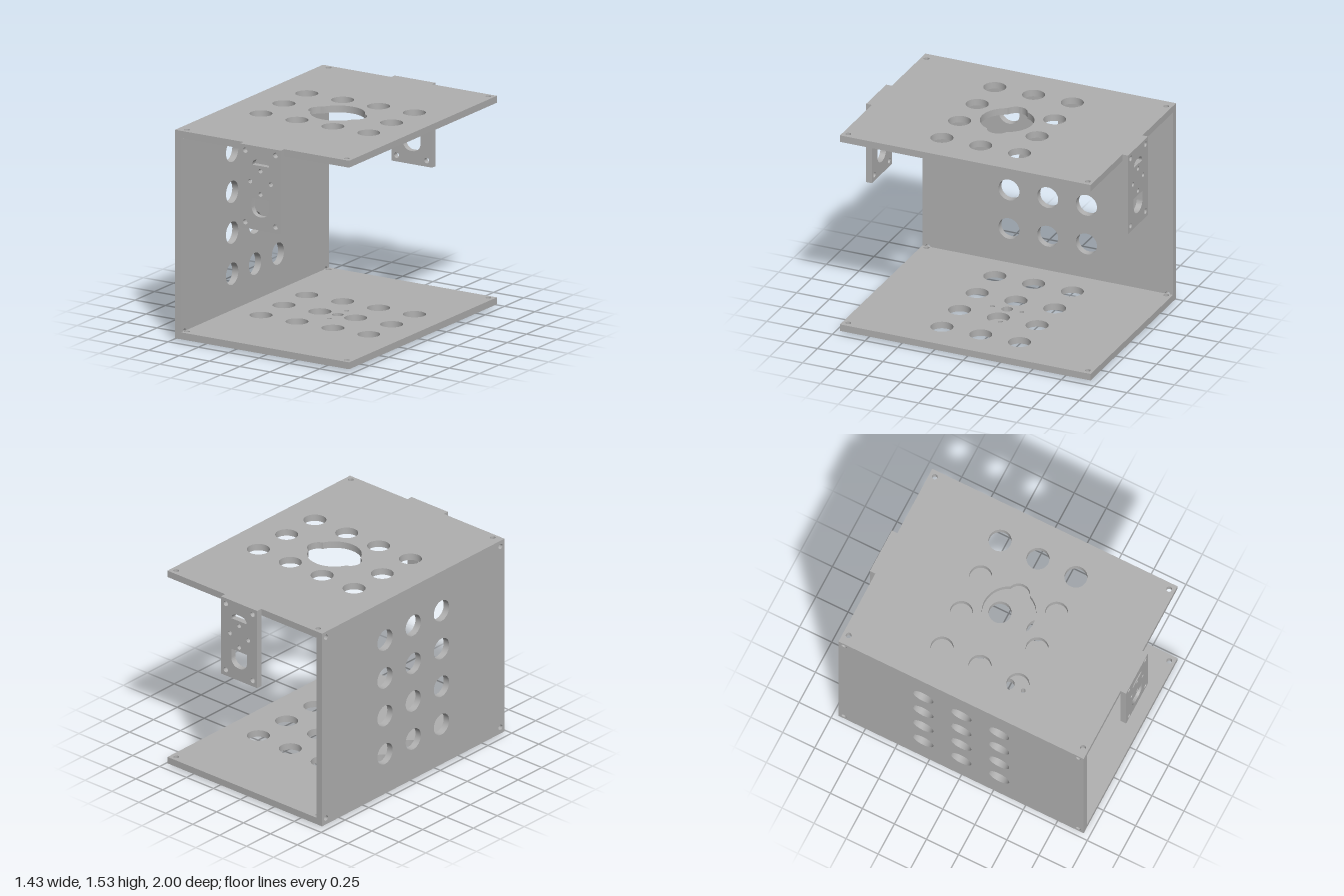
import * as THREE from 'three';
import { toCreasedNormals } from 'three/addons/utils/BufferGeometryUtils.js';

const CX = 0.012; // centre line of brackets and disc
const T = 0.05;   // sheet thickness

const rect = (x0, y0, x1, y1) => new THREE.Shape()
  .moveTo(x0, y0).lineTo(x1, y0).lineTo(x1, y1).lineTo(x0, y1).closePath();

const circle = (x, y, r) => new THREE.Path().absarc(x, y, r, 0, Math.PI * 2, true);

// Grid of equal round holes
const grid = (xs, ys, r) => xs.flatMap(x => ys.map(y => circle(x, y, r)));

function plate(shape, holes, depth) {
  shape.holes.push(...holes);
  const geo = new THREE.ExtrudeGeometry(shape, { depth, bevelEnabled: false, curveSegments: 20 });
  return toCreasedNormals(geo, 0.5);
}

// Slot with one flat edge at y0 and two rounded corners at y1
function slot(x0, x1, y0, y1, rx, ry) {
  const s = Math.sign(y1 - y0), up = s > 0;
  const p = new THREE.Path().moveTo(x0, y0).lineTo(x0, y1 - s * ry);
  p.absellipse(x0 + rx, y1 - s * ry, rx, ry, Math.PI, s * Math.PI / 2, up);
  p.absellipse(x1 - rx, y1 - s * ry, rx, ry, s * Math.PI / 2, 0, up);
  return p.lineTo(x1, y0).closePath();
}

// Round opening merged with a smaller hole on either side
function lobedOpening() {
  const R = 0.19, r = 0.08, d = 0.148;
  const ix = (d * d + R * R - r * r) / (2 * d), iy = Math.sqrt(R * R - ix * ix);
  const a = Math.atan2(iy, ix), b = Math.atan2(iy, ix - d);
  const p = new THREE.Path();
  p.absarc(CX, 0, R, a, Math.PI - a, false);
  p.absarc(CX - d, 0, r, Math.PI - b, Math.PI + b, false);
  p.absarc(CX, 0, R, Math.PI + a, Math.PI * 2 - a, false);
  p.absarc(CX + d, 0, r, -b, b, false);
  return p;
}

export function createModel() {
  const group = new THREE.Group();
  const grey = new THREE.MeshStandardMaterial({ color: 0xb0b0b0 });
  grey.name = 'grey';
  const add = (name, geo) => {
    const mesh = new THREE.Mesh(geo, grey);
    mesh.name = name;
    group.add(mesh);
    return mesh;
  };

  const rows = [-0.296, 0, 0.296], corners = [-0.915, 0.915];
  const outer = [-0.432, 0.456], inner = [-0.136, 0.16];
  const sheet = () => rect(-0.67, -0.957, 0.715, 0.957);
  const sheetHoles = () => [
    ...grid(outer, rows, 0.08),
    ...grid(inner, [rows[0], rows[2]], 0.08),
    ...grid([-0.648, 0.67], corners, 0.02),
  ];

  // Top and bottom sheets
  const top = add('topPlate', plate(sheet(), [...sheetHoles(), lobedOpening()], T));
  top.rotation.x = -Math.PI / 2;
  top.position.y = 1.48;

  const bottom = add('bottomPlate', plate(sheet(), [
    ...sheetHoles(), ...grid(inner, [0], 0.08),
    circle(CX, 0, 0.04), ...grid([CX], [-0.112, 0.112], 0.017),
  ], T));
  bottom.rotation.x = -Math.PI / 2;
  bottom.position.y = 0.02;

  // Side wall
  const wall = add('sideWall', plate(rect(-0.957, 0.02, 0.957, 1.53), [
    ...grid(rows, [0.332, 0.63, 0.925, 1.222], 0.08),
    ...grid(corners, [0.068, 1.485], 0.02),
  ], T));
  wall.rotation.y = Math.PI / 2;
  wall.position.x = -0.72;

  // Mounting brackets, front and back
  for (const [name, z] of [['frontBracket', 0.957], ['backBracket', -1]]) {
    const bracket = add(name, plate(rect(-0.156, 0.925, 0.18, 1.53), [
      ...grid([-0.113, 0.136], [0.97, 1.488], 0.02),
      ...grid([CX], [1.185, 1.355], 0.0165),
      ...grid([CX - 0.085, CX + 0.085], [1.27], 0.0165),
      slot(-0.058, 0.082, 1.392, 1.436, 0.052, 0.043),
      slot(-0.061, 0.085, 1.153, 1.02, 0.065, 0.065),
    ], 0.043));
    bracket.position.z = z;
  }

  // Round mounting disc underneath
  const disc = add('mountingDisc', plate(new THREE.Shape().absarc(CX, 0, 0.168, 0, Math.PI * 2, false), [
    circle(CX, 0, 0.04),
    ...grid([CX], [-0.112, 0.112], 0.017),
    ...grid([CX - 0.112, CX + 0.112], [0], 0.017),
  ], 0.02));
  disc.rotation.x = -Math.PI / 2;

  return group;
}
